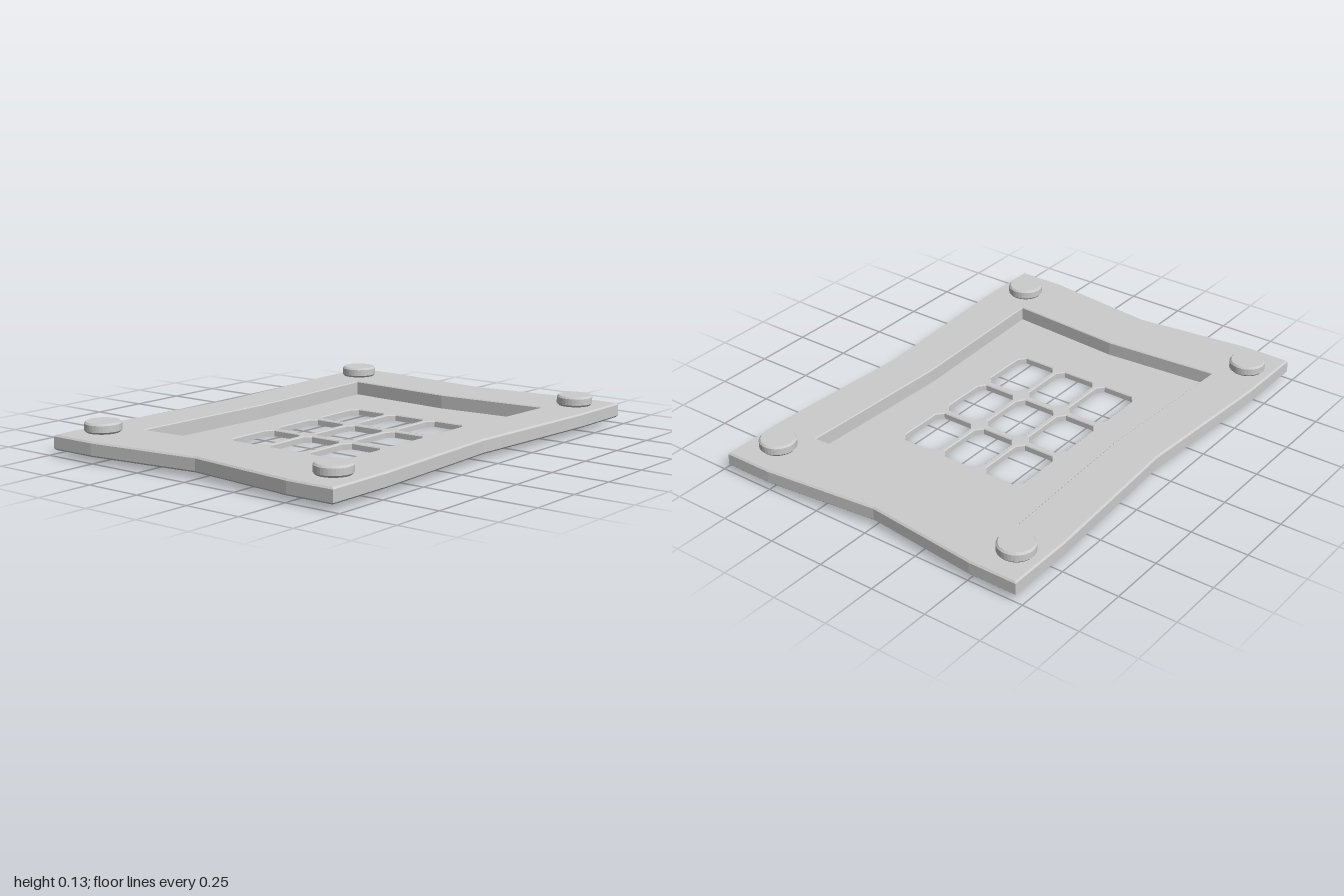
import * as THREE from 'three';

const material = new THREE.MeshStandardMaterial({
  color: 0xcccccc, flatShading: true, side: THREE.DoubleSide,
});

// Heights of the pressed sheet
const TOP = 0.089, RIM_BOTTOM = 0.026, FLOOR = 0.027, BEVEL = 0.007;

// Outlines as [x, z], running counter-clockwise seen from above
const outline = [
  [-0.72, 1], [-0.505, 1], [0, 0.94], [0.505, 1],
  [0.72, 1], [0.72, 0.68], [0.68, 0], [0.72, -0.69],
  [0.72, -1], [0.505, -1], [0, -0.946], [-0.505, -1],
  [-0.72, -1], [-0.72, -0.69], [-0.68, 0], [-0.72, 0.68],
];
const pocketOutline = [
  [-0.51, 0.704], [0, 0.667], [0.51, 0.704], [0.482, 0],
  [0.51, -0.71], [0, -0.673], [-0.51, -0.71], [-0.482, 0],
];

function cutCornerRectangle(x0, x1, z0, z1, cx, cz) {
  return [
    [x0 + cx, z1], [x1 - cx, z1], [x1, z1 - cz], [x1, z0 + cz],
    [x1 - cx, z0], [x0 + cx, z0], [x0, z0 + cz], [x0, z1 - cz],
  ];
}

// Moves every edge outward by d, mitring the corners
function grow(points, d) {
  const n = points.length;
  const normal = (a, b) => {
    const dx = b[0] - a[0], dz = b[1] - a[1], l = Math.hypot(dx, dz);
    return [-dz / l, dx / l];
  };
  return points.map((p, i) => {
    const a = normal(points[(i + n - 1) % n], p);
    const b = normal(p, points[(i + 1) % n]);
    const k = d / (1 + a[0] * b[0] + a[1] * b[1]);
    return [p[0] + (a[0] + b[0]) * k, p[1] + (a[1] + b[1]) * k];
  });
}

// Wall around an outline; profile is [growth, height] from bottom to top
function wall(points, profile) {
  const n = points.length, positions = [], index = [];
  for (const [d, y] of profile) {
    for (const [x, z] of grow(points, d)) positions.push(x, y, z);
  }
  for (let r = 0; r < profile.length - 1; r++) {
    for (let i = 0; i < n; i++) {
      const a = r * n + i, b = r * n + (i + 1) % n;
      index.push(a, b, b + n, a, b + n, a + n);
    }
  }
  const indexed = new THREE.BufferGeometry();
  indexed.setAttribute('position', new THREE.Float32BufferAttribute(positions, 3));
  indexed.setIndex(index);
  const geometry = indexed.toNonIndexed();
  geometry.computeVertexNormals();
  return geometry;
}

// Horizontal sheet with holes
function sheet(points, holes, y) {
  const toVectors = (list) => list.map(([x, z]) => new THREE.Vector2(x, -z));
  const shape = new THREE.Shape(toVectors(points));
  for (const hole of holes) shape.holes.push(new THREE.Path(toVectors(hole)));
  return new THREE.ShapeGeometry(shape).rotateX(-Math.PI / 2).translate(0, y, 0);
}

export function createModel() {
  const model = new THREE.Group();
  model.name = 'tray';
  const add = (name, geometry) => {
    const mesh = new THREE.Mesh(geometry, material);
    mesh.name = name;
    model.add(mesh);
    return mesh;
  };

  // Frame: top face and outer skirt, hollow underneath
  add('frameTop', sheet(grow(outline, -BEVEL), [grow(pocketOutline, 0.004)], TOP));
  add('outerSkirt', wall(outline, [
    [-BEVEL, RIM_BOTTOM], [0, RIM_BOTTOM + BEVEL], [0, TOP - BEVEL], [-BEVEL, TOP],
  ]));

  // Sunken pocket
  add('pocketWall', wall(pocketOutline, [[0, FLOOR], [0, TOP - 0.004], [0.004, TOP]]));

  // Three by three windows, each with a collar hanging below the floor
  const columns = [[-0.305, -0.12], [-0.098, 0.093], [0.115, 0.303]];
  const rows = [[-0.425, -0.165], [-0.135, 0.127], [0.157, 0.42]];
  const windows = [];
  for (const [x0, x1] of columns) {
    for (const [z0, z1] of rows) {
      windows.push(cutCornerRectangle(x0, x1, z0, z1, 0.025, 0.032));
    }
  }
  add('pocketFloor', sheet(pocketOutline, windows.map((w) => grow(w, 0.004)), FLOOR));
  for (const w of windows) {
    add('windowCollar', wall(w, [[0, 0], [0, FLOOR - 0.004], [0.004, FLOOR]]));
  }

  // Round pads on the corners
  const profile = [
    [0, 0], [0.07, 0], [0.077, 0.008], [0.077, 0.036], [0.07, 0.044], [0, 0.044],
  ].map(([r, y]) => new THREE.Vector2(r, y));
  const padGeometry = new THREE.LatheGeometry(profile, 32);
  for (const x of [-0.61, 0.588]) {
    for (const z of [-0.847, 0.832]) {
      add('cornerPad', padGeometry).position.set(x, TOP + 0.001, z);
    }
  }
  return model;
}
